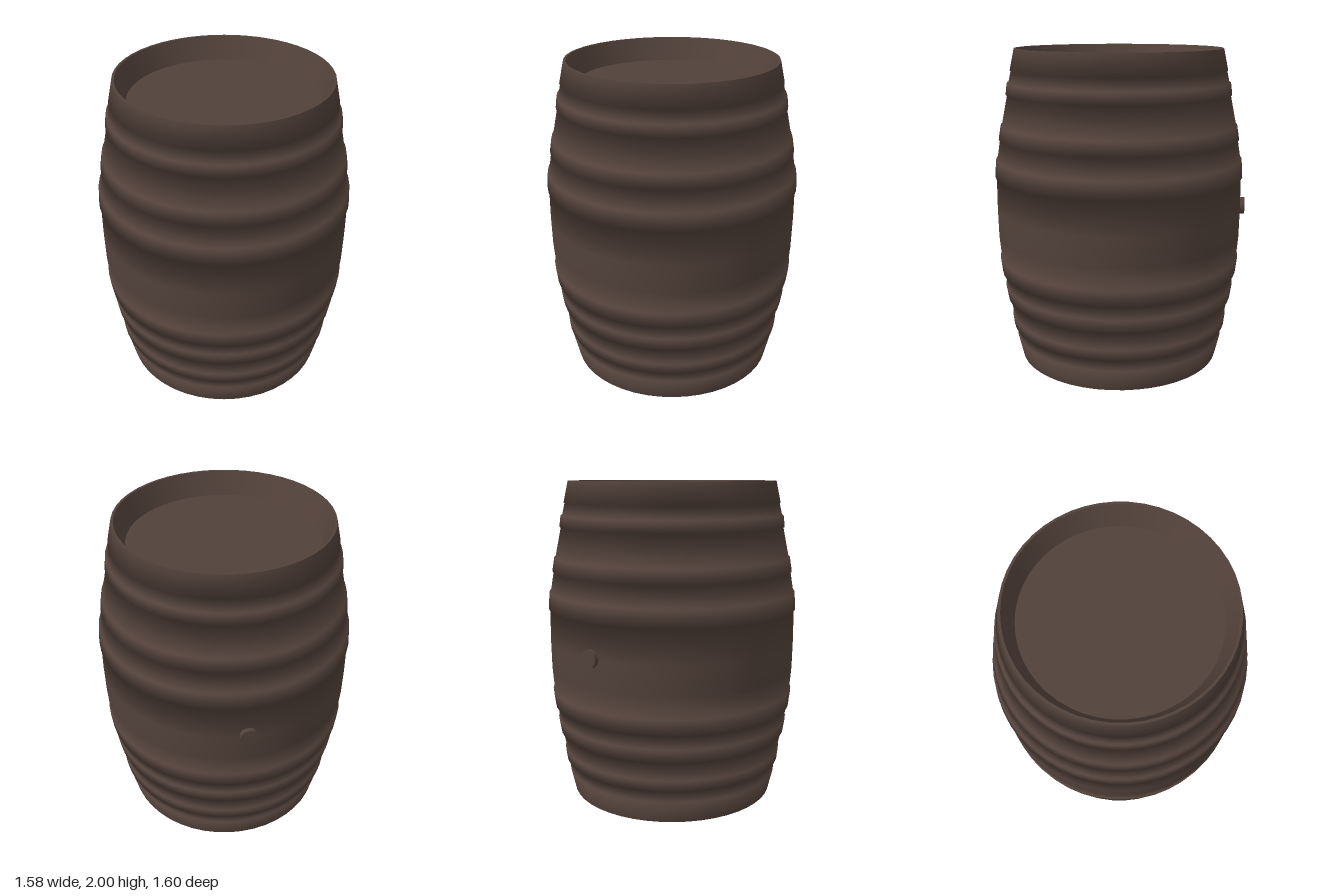
import * as THREE from 'three';

const SIDES = 48;

// Lathe whose normals blend evenly across every profile corner, giving soft bands
function softLathe(profile) {
  const pts = profile.map(([r, y]) => new THREE.Vector2(r, y));
  const geo = new THREE.LatheGeometry(pts, SIDES);
  const seg = pts.slice(1).map((p, i) => {
    const d = p.clone().sub(pts[i]);
    return new THREE.Vector2(d.y, -d.x).normalize();
  });
  const blended = pts.map((_, i) =>
    (seg[i - 1] ?? seg[i]).clone().add(seg[i] ?? seg[i - 1]).normalize());
  const normal = geo.attributes.normal;
  for (let k = 0; k < normal.count; k++) {
    const n = blended[k % pts.length];
    const a = Math.floor(k / pts.length) / SIDES * Math.PI * 2;
    normal.setXYZ(k, n.x * Math.sin(a), n.y, n.x * Math.cos(a));
  }
  return geo;
}

export function createModel() {
  const group = new THREE.Group();
  group.name = 'barrel';
  const wood = new THREE.MeshStandardMaterial({ color: 0x52413a });
  wood.name = 'dark brown wood';

  const add = (geometry, name, parent) => {
    const mesh = new THREE.Mesh(geometry, wood);
    mesh.name = name;
    parent.add(mesh);
    return mesh;
  };

  const body = new THREE.Group();
  body.name = 'body';
  body.position.z = 0.01;
  group.add(body);

  // Bulging shell with stepped hoops, listed as [radius, height] from the bottom
  add(softLathe([
    [0.65, 0], [0.682, 0.135],
    [0.673, 0.137], [0.692, 0.213],
    [0.703, 0.215], [0.711, 0.285],
    [0.702, 0.287], [0.727, 0.403],
    [0.736, 0.405], [0.749, 0.49],
    [0.741, 0.492], [0.757, 0.578],
    [0.766, 0.58], [0.778, 0.682],
    [0.77, 0.684], [0.781, 0.82], [0.784, 1], [0.782, 1.208],
    [0.791, 1.21], [0.783, 1.315],
    [0.774, 1.317], [0.753, 1.443],
    [0.761, 1.445], [0.747, 1.53],
    [0.739, 1.532], [0.7, 1.718],
    [0.709, 1.72], [0.7, 1.79],
    [0.69, 1.792], [0.673, 1.865],
    [0.679, 1.867], [0.65, 2],
  ]), 'shell', body);

  // Rims, sloping inner walls and recessed heads at both ends
  add(softLathe([[0.65, 2], [0.635, 2]]), 'topRim', body);
  add(softLathe([[0.635, 2], [0.577, 1.86]]), 'topInnerWall', body);
  add(softLathe([[0.577, 0.14], [0.635, 0]]), 'bottomInnerWall', body);
  add(softLathe([[0.635, 0], [0.65, 0]]), 'bottomRim', body);

  for (const [name, y, turn] of [['topHead', 1.86, -1], ['bottomHead', 0.14, 1]]) {
    const head = add(new THREE.CircleGeometry(0.577, SIDES), name, body);
    head.rotation.x = turn * Math.PI / 2;
    head.position.y = y;
  }

  // Bung on the back
  const bung = add(new THREE.CylinderGeometry(0.055, 0.055, 0.06, 16), 'bung', group);
  bung.rotation.x = -Math.PI / 2;
  bung.position.set(0, 1.005, -0.77);

  return group;
}
